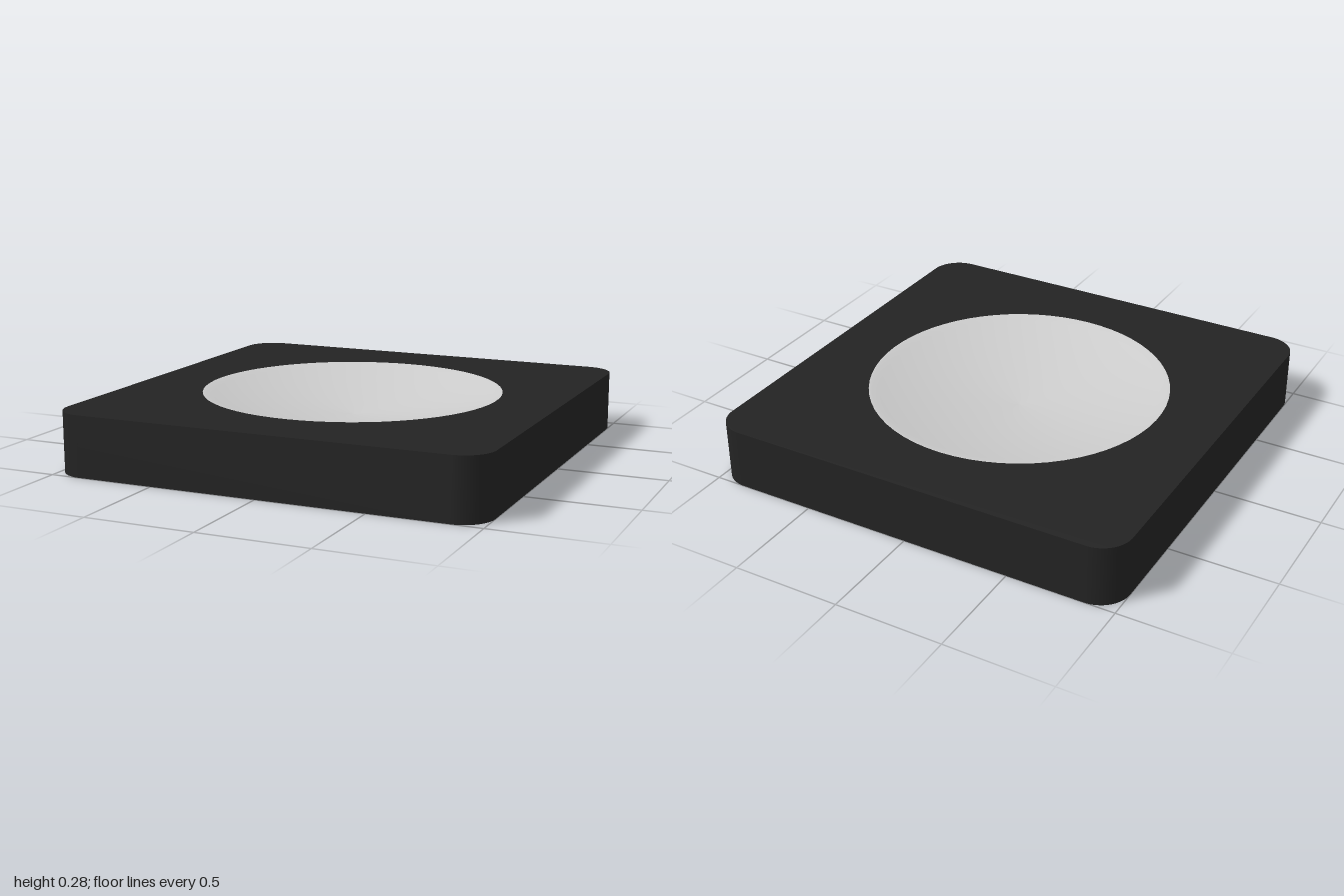
import * as THREE from 'three';

const HEIGHT = 0.28, CORNER = 0.14, BOWL_RADIUS = 0.7, BOWL_DEPTH = 0.115;

// Square outline with rounded corners and a round opening
function slabShape(withHole) {
  const s = new THREE.Shape();
  const c = 1 - CORNER;
  s.absarc(c, c, CORNER, 0, Math.PI / 2);
  s.absarc(-c, c, CORNER, Math.PI / 2, Math.PI);
  s.absarc(-c, -c, CORNER, Math.PI, Math.PI * 1.5);
  s.absarc(c, -c, CORNER, Math.PI * 1.5, Math.PI * 2);
  s.closePath();
  if (withHole) {
    s.holes.push(new THREE.Path().absarc(0, 0, BOWL_RADIUS, 0, Math.PI * 2, true));
  }
  return s;
}

// Upright slab made from an outline, with smooth rounded corners
function slab(name, y, height, withHole, material) {
  const geo = new THREE.ExtrudeGeometry(slabShape(withHole), {
    depth: height, bevelEnabled: false, curveSegments: withHole ? 32 : 16,
  });
  geo.rotateX(-Math.PI / 2);
  geo.translate(0, y, 0);
  // Side normals follow the rounded outline; caps stay flat
  const p = geo.attributes.position, n = geo.attributes.normal;
  const c = 1 - CORNER;
  for (let i = 0; i < p.count; i++) {
    if (Math.abs(n.getY(i)) > 0.5) continue;
    const x = p.getX(i), z = p.getZ(i);
    if (Math.hypot(x, z) < BOWL_RADIUS + 0.01) continue;
    const dx = x - THREE.MathUtils.clamp(x, -c, c);
    const dz = z - THREE.MathUtils.clamp(z, -c, c);
    const len = Math.hypot(dx, dz) || 1;
    n.setXYZ(i, dx / len, 0, dz / len);
  }
  const mesh = new THREE.Mesh(geo, material);
  mesh.name = name;
  return mesh;
}

export function createModel() {
  const black = new THREE.MeshStandardMaterial({ color: 0x232323 });
  black.name = 'charcoal';
  const grey = new THREE.MeshStandardMaterial({ color: 0xcccccc, side: THREE.DoubleSide });
  grey.name = 'light grey';

  const group = new THREE.Group();
  group.name = 'squareDish';

  // Solid floor below, open frame around the bowl above
  const floor = 0.14;
  group.add(slab('baseFloor', 0, floor, false, black));
  group.add(slab('baseFrame', floor, HEIGHT - floor, true, black));

  // Shallow bowl with a gently pointed centre and a narrow flush lip
  const profile = [];
  const inner = BOWL_RADIUS - 0.015;
  for (let i = 0; i <= 20; i++) {
    const t = i / 20;
    const rise = 0.3 * t + 0.7 * t * t;
    profile.push(new THREE.Vector2(inner * t, HEIGHT - 0.002 - BOWL_DEPTH * (1 - rise)));
  }
  profile.push(new THREE.Vector2(BOWL_RADIUS, HEIGHT));
  const bowl = new THREE.Mesh(new THREE.LatheGeometry(profile, 64), grey);
  bowl.name = 'bowl';
  group.add(bowl);

  return group;
}
